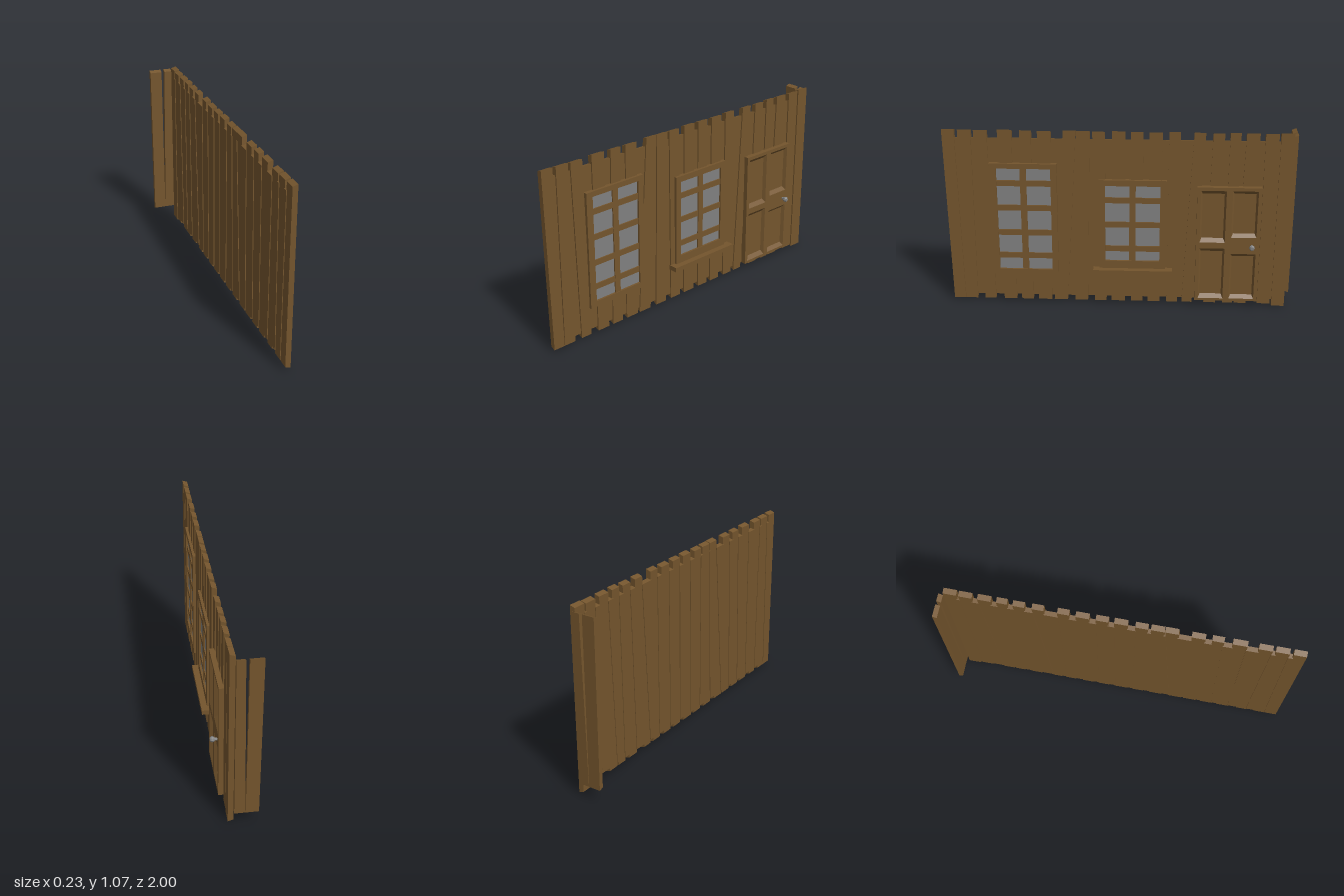
import * as THREE from 'three';

const wood = new THREE.MeshStandardMaterial({ color: 0x74552d, flatShading: true });
const woodInner = new THREE.MeshStandardMaterial({ color: 0x74552d, flatShading: true, side: THREE.DoubleSide });
const grey = new THREE.MeshStandardMaterial({ color: 0x808080, flatShading: true });

function add(parent, name, geometry, material = wood) {
  const mesh = new THREE.Mesh(geometry, material);
  mesh.name = name;
  parent.add(mesh);
  return mesh;
}

// Box given by its limits on each axis
function block(parent, name, [x0, x1], [y0, y1], [z0, z1], material) {
  const geo = new THREE.BoxGeometry(x1 - x0, y1 - y0, z1 - z0);
  geo.translate((x0 + x1) / 2, (y0 + y1) / 2, (z0 + z1) / 2);
  return add(parent, name, geo, material);
}

// Tapered board: separate z limits at top and bottom, ends cut at a slant
function board(parent, name, [x0, x1], [y0, y1], [topA, topB], [botA, botB], slant) {
  const geo = new THREE.BoxGeometry(1, 1, 1);
  const p = geo.attributes.position;
  for (let i = 0; i < p.count; i++) {
    const front = p.getX(i) > 0, top = p.getY(i) > 0, left = p.getZ(i) > 0;
    const cut = front ? 0 : slant;
    p.setXYZ(i, front ? x1 : x0, top ? y1 - cut : y0 + cut,
      top ? (left ? topA : topB) : (left ? botA : botB));
  }
  geo.computeVertexNormals();
  return add(parent, name, geo);
}

// Slab with rectangular holes facing +x; rectangles are [z0, z1, y0, y1]
function slab(parent, name, [x0, x1], outer, holes) {
  const trace = (path, [z0, z1, y0, y1]) => path
    .moveTo(-z1, y0).lineTo(-z0, y0).lineTo(-z0, y1).lineTo(-z1, y1).closePath();
  const shape = trace(new THREE.Shape(), outer);
  for (const h of holes) shape.holes.push(trace(new THREE.Path(), h));
  const geo = new THREE.ExtrudeGeometry(shape, { depth: x1 - x0, bevelEnabled: false });
  geo.rotateY(Math.PI / 2).translate(x0, 0, 0);
  return add(parent, name, geo);
}

// Glazed window with a frame, one upright bar and several crossbars
function makeWindow(name, outer, opening, upright, bars) {
  const g = new THREE.Group();
  g.name = name;
  const [z0, z1, y0, y1] = opening;
  slab(g, 'windowFrame', [0.04, 0.065], outer, [opening]);
  block(g, 'glass', [0.05, 0.053], [y0, y1], [z0, z1], grey);
  block(g, 'uprightBar', [0.05, 0.061], [y0, y1], [upright - 0.018, upright + 0.018]);
  for (const y of bars) block(g, 'crossBar', [0.05, 0.06], [y - 0.017, y + 0.017], [z0, z1]);
  return g;
}

export function createModel() {
  const model = new THREE.Group();
  model.name = 'plankWall';

  // Long planks: z limits at the top, then at the bottom
  const planks = [
    [1.0, 0.93, 0.985, 0.918], [0.91, 0.835, 0.915, 0.845], [0.82, 0.745, 0.80, 0.735],
    [0.685, 0.605, 0.685, 0.61], [0.56, 0.495, 0.58, 0.51], [0.46, 0.385, 0.48, 0.40],
    [0.315, 0.243, 0.385, 0.305], [0.24, 0.165, 0.26, 0.185], [0.15, 0.08, 0.145, 0.075],
    [0.04, -0.035, 0.045, -0.035], [-0.065, -0.135, -0.07, -0.14], [-0.17, -0.245, -0.17, -0.24],
    [-0.28, -0.345, -0.28, -0.345], [-0.42, -0.485, -0.37, -0.43], [-0.525, -0.59, -0.50, -0.57],
    [-0.62, -0.68, -0.61, -0.67], [-0.71, -0.785, -0.68, -0.75], [-0.815, -0.89, -0.815, -0.89],
    [-0.90, -0.975, -0.90, -0.975],
  ];
  const wall = new THREE.Group();
  wall.name = 'wall';
  model.add(wall);
  planks.forEach(([a, b, c, d], i) => {
    const bottom = i === planks.length - 1 ? 0 : 0.014;
    board(wall, 'longPlank', [0.02, 0.05], [bottom, 1.066 - (i % 3) * 0.002], [a, b], [c, d], 0.01);
    // Shorter plank filling the space up to the next long one
    const next = planks[i + 1];
    if (next) board(wall, 'shortPlank', [0.016, 0.042], [0.04, 1.015],
      [b + 0.004, next[0] - 0.004], [d + 0.004, next[2] - 0.004], 0.006);
  });

  // Two corner planks turned across the far end
  const corner = new THREE.Group();
  corner.name = 'cornerPlanks';
  for (const [a, b, c, d] of [[-0.045, -0.118, -0.041, -0.112], [0.02, -0.026, 0.02, -0.039]]) {
    board(corner, 'cornerPlank', [0.975, 1.0], [0.075, 1.046], [a, b], [c, d], 0.01);
  }
  corner.rotation.y = Math.PI / 2;
  model.add(corner);

  // Windows and sill
  model.add(makeWindow('tallWindow', [0.355, 0.74, 0.18, 0.87], [0.39, 0.70, 0.215, 0.84],
    0.547, [0.75, 0.60, 0.447, 0.302]));
  const shortWindow = makeWindow('shortWindow', [-0.27, 0.115, 0.22, 0.78],
    [-0.235, 0.08, 0.28, 0.745], -0.077, [0.656, 0.506, 0.356]);
  block(shortWindow, 'sill', [0.04, 0.1], [0.205, 0.233], [-0.31, 0.15]);
  model.add(shortWindow);

  // Door with four sunken panels
  const door = new THREE.Group();
  door.name = 'door';
  const panels = [
    [-0.61, -0.465, 0.412, 0.73], [-0.79, -0.645, 0.445, 0.73],
    [-0.61, -0.465, 0.055, 0.375], [-0.79, -0.645, 0.055, 0.343],
  ];
  slab(door, 'doorFrame', [0.045, 0.077], [-0.81, -0.445, 0.04, 0.75], panels);
  for (const [z0, z1, y0, y1] of panels) {
    const geo = new THREE.CylinderGeometry(Math.SQRT1_2, Math.SQRT1_2 * 0.85, 0.02, 4, 1, true);
    geo.rotateY(Math.PI / 4).rotateZ(-Math.PI / 2).scale(1, y1 - y0, z1 - z0);
    geo.translate(0.067, (y0 + y1) / 2, (z0 + z1) / 2);
    add(door, 'panelBevel', geo, woodInner);
    block(door, 'panel', [0.05, 0.058], [y0, y1], [z0, z1]);
  }

  // Faceted knob on a short stem
  const stem = new THREE.CylinderGeometry(0.008, 0.008, 0.022, 8).rotateZ(-Math.PI / 2);
  add(door, 'knobStem', stem, grey).position.set(0.085, 0.394, -0.765);
  const profile = [[0, -0.013], [0.011, -0.013], [0.016, -0.004], [0.016, 0.004], [0.01, 0.013], [0, 0.013]];
  const knob = new THREE.LatheGeometry(profile.map(([r, h]) => new THREE.Vector2(r, h)), 8);
  add(door, 'knob', knob.rotateZ(-Math.PI / 2), grey).position.set(0.104, 0.394, -0.765);
  model.add(door);

  return model;
}
